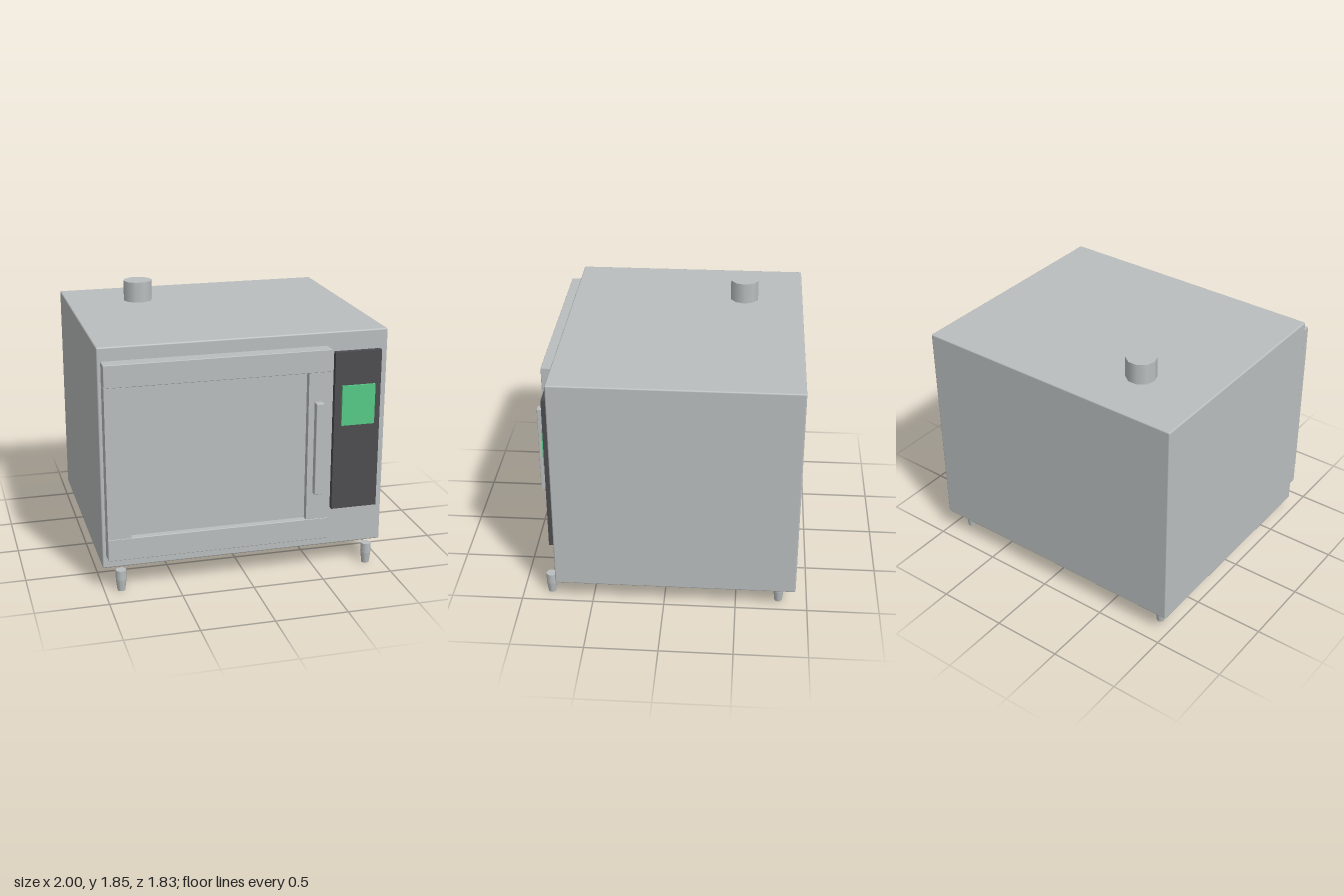
import * as THREE from 'three';
import { RoundedBoxGeometry } from 'three/addons/geometries/RoundedBoxGeometry.js';

const mat = (name, color) => {
  const m = new THREE.MeshStandardMaterial({ color });
  m.name = name;
  return m;
};

export function createModel() {
  const steel = mat('steel grey', 0xbabebe);
  const charcoal = mat('charcoal', 0x4d4c50);
  const green = mat('screen green', 0x57cb87);
  const oven = new THREE.Group();
  oven.name = 'oven';

  const add = (parent, name, geometry, material, x = 0, y = 0, z = 0) => {
    const mesh = new THREE.Mesh(geometry, material);
    mesh.name = name;
    mesh.position.set(x, y, z);
    parent.add(mesh);
    return mesh;
  };
  // Box given by its limits; a bevel radius softens the edges
  const block = (parent, name, material, [x0, x1], [y0, y1], [z0, z1], bevel = 0) => {
    const size = [x1 - x0, y1 - y0, z1 - z0];
    const geometry = bevel
      ? new RoundedBoxGeometry(...size, 2, bevel)
      : new THREE.BoxGeometry(...size);
    return add(parent, name, geometry, material, (x0 + x1) / 2, (y0 + y1) / 2, (z0 + z1) / 2);
  };

  // Cabinet
  block(oven, 'cabinet', steel, [-1, 1], [0.15, 1.704], [-0.915, 0.76], 0.01);

  // Door: rails, stiles and a recessed inner panel
  const door = new THREE.Group();
  door.name = 'door';
  oven.add(door);
  const depth = [0.755, 0.858];
  block(door, 'topRail', steel, [-0.975, 0.57], [1.455, 1.61], depth, 0.004);
  block(door, 'bottomRail', steel, [-0.975, 0.57], [0.243, 0.398], depth, 0.004);
  block(door, 'rightStile', steel, [-0.975, -0.815], [0.398, 1.455], depth);
  block(door, 'leftStile', steel, [0.412, 0.57], [0.398, 1.455], depth);
  block(door, 'innerPanel', steel, [-0.815, 0.412], [0.398, 1.455], [0.755, 0.81]);
  block(door, 'handle', steel, [0.45, 0.504], [0.599, 1.255], [0.864, 0.915], 0.005);

  // Control panel with screen
  block(oven, 'controlPanel', charcoal, [0.618, 0.948], [0.432, 1.568], [0.755, 0.798]);
  block(oven, 'screen', green, [0.668, 0.905], [1.048, 1.332], [0.798, 0.813]);

  // Exhaust flue
  const flue = add(oven, 'flue', new THREE.CylinderGeometry(0.105, 0.105, 0.152, 10), steel, -0.48, 1.776, -0.49);
  flue.rotation.y = Math.PI / 2;

  // Tapered feet
  const collar = new THREE.CylinderGeometry(0.037, 0.037, 0.07, 10);
  const tip = new THREE.CylinderGeometry(0.037, 0.027, 0.08, 10);
  for (const x of [-0.884, 0.884]) {
    for (const z of [-0.8, 0.803]) {
      const foot = new THREE.Group();
      foot.name = (z > 0 ? 'front' : 'back') + (x > 0 ? 'Left' : 'Right') + 'Foot';
      foot.position.set(x, 0, z);
      foot.rotation.y = Math.PI / 2;
      oven.add(foot);
      add(foot, 'collar', collar, steel, 0, 0.115, 0);
      add(foot, 'tip', tip, steel, 0, 0.04, 0);
    }
  }
  return oven;
}
